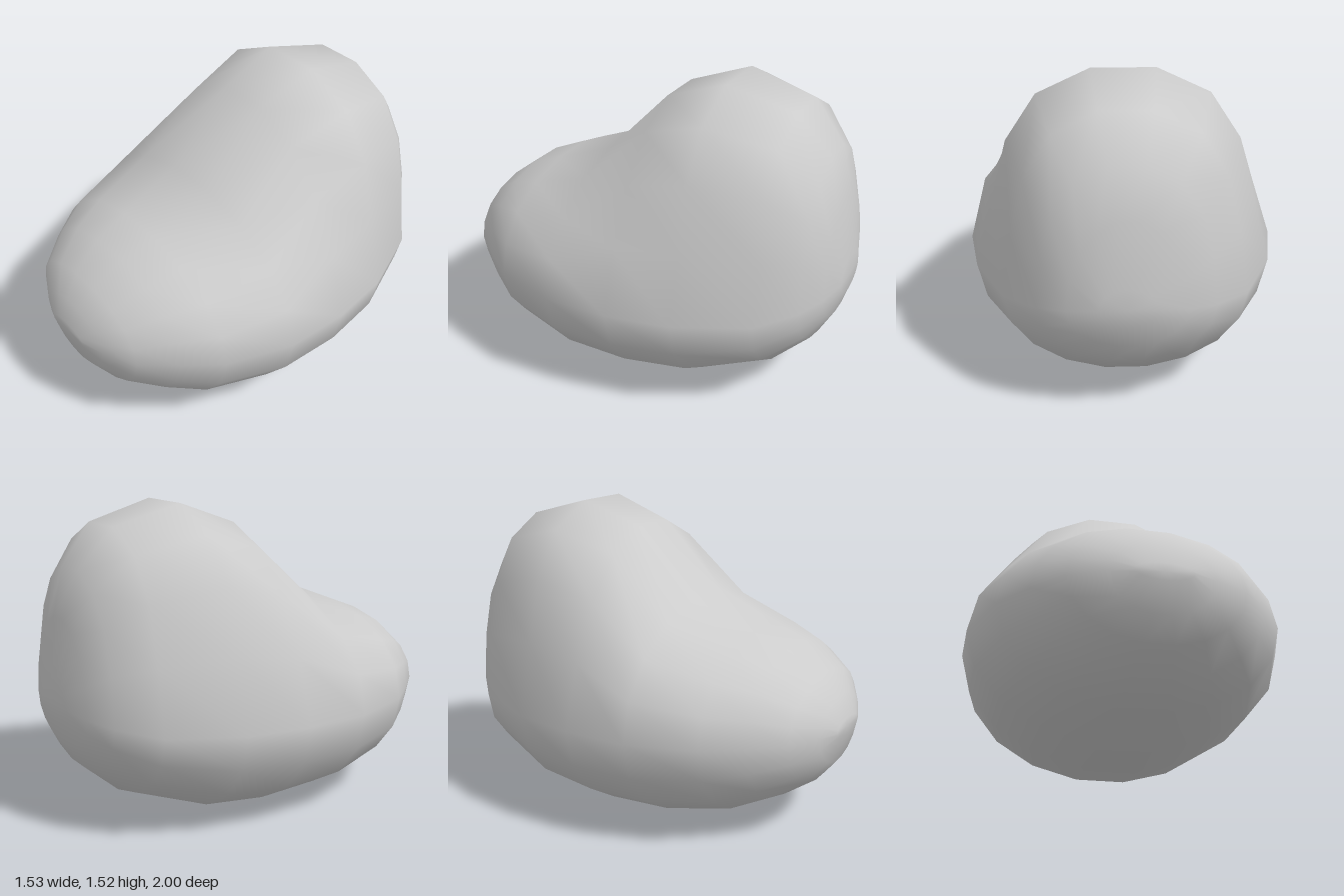
import * as THREE from 'three';

// Cross-sections from back to front:
// z, bottom y, y of widest point, top y, half width, upper pinch (linear, square)
const SECTIONS = [
  [-1.0, 0.54, 0.62, 0.72, 0.13, 0, 0],
  [-0.96, 0.42, 0.6, 1.02, 0.27, 0, 0],
  [-0.89, 0.3, 0.58, 1.24, 0.4, -0.1, 0.3],
  [-0.73, 0.16, 0.55, 1.43, 0.56, -0.25, 0.5],
  [-0.39, 0.03, 0.54, 1.52, 0.71, -0.4, 0.62],
  [-0.08, 0.0, 0.54, 1.41, 0.765, -0.3, 0.26],
  [0.24, 0.015, 0.54, 1.08, 0.765, 0, 0],
  [0.56, 0.08, 0.54, 0.955, 0.66, 0, 0.05],
  [0.73, 0.16, 0.54, 0.89, 0.53, 0, 0.1],
  [0.88, 0.26, 0.54, 0.78, 0.4, 0, 0.1],
  [0.96, 0.36, 0.54, 0.68, 0.24, 0, 0],
  [1.0, 0.5, 0.54, 0.58, 0.13, 0, 0],
];
const SIDES = 18; // leaves a narrow flat along the crown and the base

function loft(sections) {
  const positions = [];
  const index = [];
  const flat = Math.cos(Math.PI / SIDES);

  // Two half-ellipses per section, joined at the widest point
  for (const [z, low, mid, high, width, k1, k2] of sections) {
    for (let j = 0; j < SIDES; j++) {
      const t = (j / SIDES) * Math.PI * 2;
      const s = Math.sin(t) / flat;
      const up = Math.max(s, 0);
      const x = width * Math.cos(t) * (1 + k1 * up + k2 * up * up);
      const y = mid + s * (s > 0 ? high - mid : mid - low);
      positions.push(x, y, z);
    }
  }

  // Skin between neighbouring sections
  const last = (sections.length - 1) * SIDES;
  for (let i = 0; i < last; i += SIDES) {
    for (let j = 0; j < SIDES; j++) {
      const k = (j + 1) % SIDES;
      const a = i + j, b = i + k;
      index.push(a, b, b + SIDES, a, b + SIDES, a + SIDES);
    }
  }

  // Closed ends
  const back = positions.length / 3;
  const front = back + 1;
  const [first, end] = [sections[0], sections[sections.length - 1]];
  positions.push(0, first[2], first[0], 0, end[2], end[0]);
  for (let j = 0; j < SIDES; j++) {
    const k = (j + 1) % SIDES;
    index.push(back, k, j, front, last + j, last + k);
  }

  const geometry = new THREE.BufferGeometry();
  geometry.setAttribute('position', new THREE.Float32BufferAttribute(positions, 3));
  geometry.setIndex(index);
  geometry.computeVertexNormals();
  return geometry;
}

export function createModel() {
  const group = new THREE.Group();
  group.name = 'pebble';
  const body = new THREE.Mesh(
    loft(SECTIONS),
    new THREE.MeshStandardMaterial({ color: 0xcccccc })
  );
  body.name = 'body';
  group.add(body);
  return group;
}
